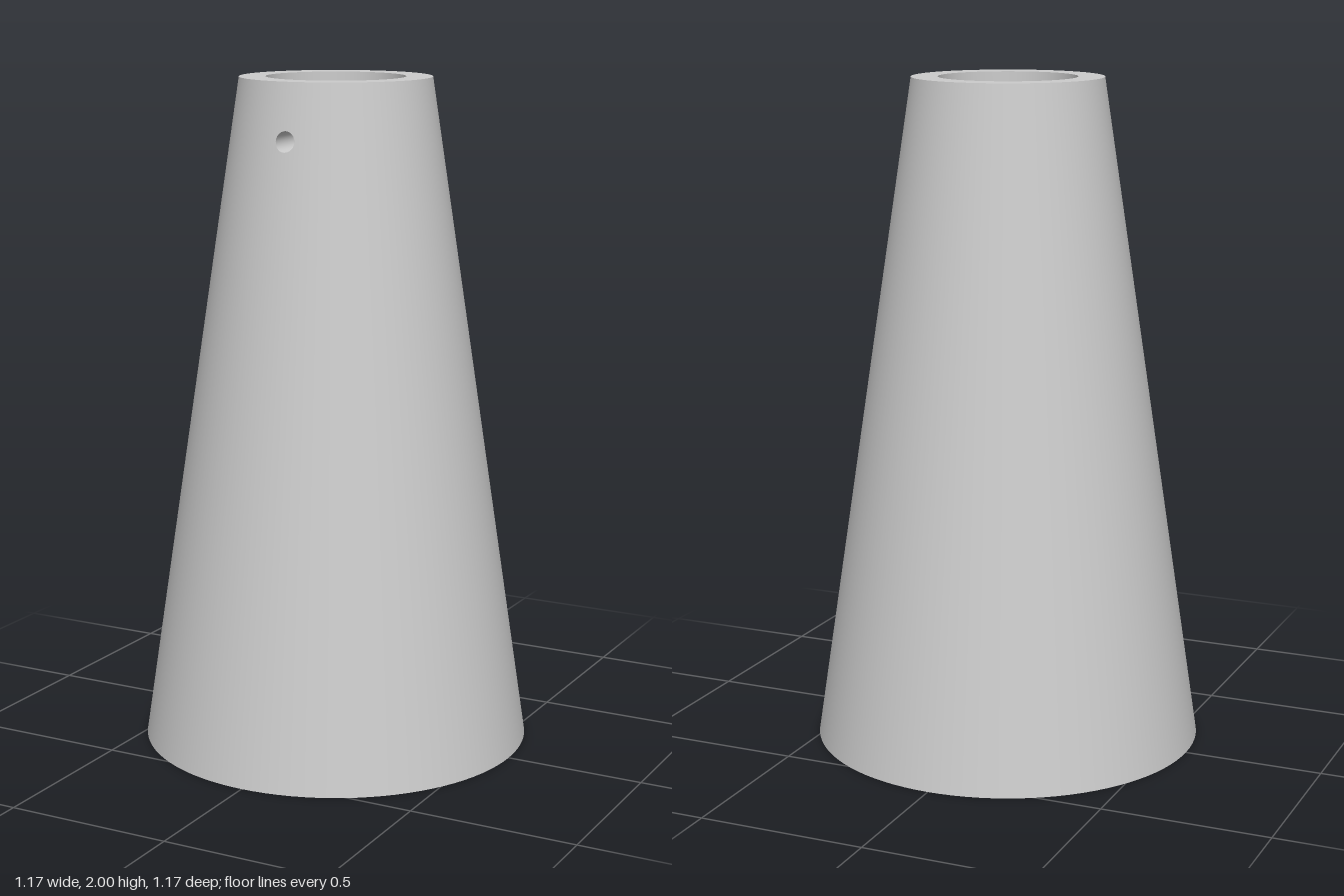
import * as THREE from 'three';

const SEG = 96, STEP = (Math.PI * 2) / SEG;
const HALF = 3, GAP = HALF * STEP; // half width of the wall patch around the pin hole
const HOLE_Y = 1.834, HOLE_R = 0.03, BAND_H = 0.075;
const BAND = [HOLE_Y - BAND_H, HOLE_Y + BAND_H];
const SHELF_TOP = 1.667, SHELF_BOTTOM = 1.2, BORE = 0.205, OPENING = 0.121;
const outerR = (y) => 0.583 - 0.15 * y;
const cavityR = (y) => 0.533 - 0.15 * y;
const boreR = () => BORE;

// One straight profile line spun round the axis, so that every rim stays sharp
function spin(points, cut = false) {
  return new THREE.LatheGeometry(
    points.map(([r, y]) => new THREE.Vector2(r, y)),
    cut ? SEG - 2 * HALF : SEG, cut ? GAP : 0, cut ? Math.PI * 2 - 2 * GAP : Math.PI * 2);
}

// Outline of the patch as (angle, height), anticlockwise from its lower left corner
const frame = [];
for (const [cos, sin] of [[1, 0], [0, 1], [-1, 0], [0, -1]]) {
  for (let i = -HALF; i < HALF; i++) {
    const k = i / HALF;
    frame.push([(cos * k + sin) * GAP, HOLE_Y + (sin * k - cos) * BAND_H]);
  }
}

// Matching points of the round hole where it meets a wall
function holeEdge(radius) {
  return frame.map((_, i) => {
    const a = (i / frame.length) * Math.PI * 2 - Math.PI * 0.75;
    const y = HOLE_Y + HOLE_R * Math.sin(a);
    return [Math.asin((HOLE_R * Math.cos(a)) / radius(y)), y];
  });
}

const onWall = (radius, [t, y]) => [radius(y) * Math.sin(t), y, radius(y) * Math.cos(t)];

// Surface through closed rings of equal length
function loft(rings, inward) {
  const n = rings[0].length, index = [];
  for (let k = 0; k < rings.length - 1; k++) {
    for (let i = 0; i < n; i++) {
      const a = k * n + i, b = k * n + ((i + 1) % n);
      index.push(a, b, a + n, b, b + n, a + n);
    }
  }
  if (inward) index.reverse();
  const geo = new THREE.BufferGeometry();
  geo.setAttribute('position', new THREE.Float32BufferAttribute(rings.flat(2), 3));
  geo.setIndex(index);
  geo.computeVertexNormals();
  return geo;
}

// Curved wall patch pierced by the hole, following the wall from frame to hole
function patch(radius, slope, inward) {
  const hole = holeEdge(radius), rings = [];
  for (let k = 0; k <= 4; k++) {
    rings.push(frame.map((p, i) => onWall(radius, p.map((v, c) => v + (hole[i][c] - v) * k / 4))));
  }
  const geo = loft(rings, inward);
  const pos = geo.attributes.position, n = new THREE.Vector3();
  for (let i = 0; i < pos.count; i++) {
    const t = Math.atan2(pos.getX(i), pos.getZ(i));
    n.set(Math.sin(t), slope, Math.cos(t)).normalize().multiplyScalar(inward ? -1 : 1);
    geo.attributes.normal.setXYZ(i, n.x, n.y, n.z);
  }
  return geo;
}

export function createModel() {
  const model = new THREE.Group();
  model.name = 'hollowCone';
  const grey = new THREE.MeshStandardMaterial({ color: 0xcccccc });
  grey.name = 'light grey';
  const add = (name, geometry) => {
    const mesh = new THREE.Mesh(geometry, grey);
    mesh.name = name;
    model.add(mesh);
  };
  const outer = (y) => [outerR(y), y];
  const cavity = (y) => [cavityR(y), y];
  const bore = (y) => [BORE, y];
  const opening = (y) => [OPENING, y];

  // Outer wall, with a gap for the pierced patch
  add('outerWallLower', spin([outer(0), outer(BAND[0])]));
  add('outerWallBand', spin([outer(BAND[0]), outer(BAND[1])], true));
  add('outerWallUpper', spin([outer(BAND[1]), outer(2)]));
  add('outerHolePatch', patch(outerR, 0.15, false));

  // Top rim, upper bore and the hole through its wall
  add('topRim', spin([outer(2), bore(2)]));
  add('boreUpper', spin([bore(2), bore(BAND[1])]));
  add('boreBand', spin([bore(BAND[1]), bore(BAND[0])], true));
  add('boreLower', spin([bore(BAND[0]), bore(SHELF_TOP)]));
  add('boreHolePatch', patch(boreR, 0, true));
  add('pinHole', loft([outerR, boreR].map((r) => holeEdge(r).map((p) => onWall(r, p))), false));

  // Solid neck with the narrow opening
  add('shelfTop', spin([bore(SHELF_TOP), opening(SHELF_TOP)]));
  add('shelfOpening', spin([opening(SHELF_TOP), opening(SHELF_BOTTOM)]));
  add('shelfUnderside', spin([opening(SHELF_BOTTOM), cavity(SHELF_BOTTOM)]));

  // Lower cavity and foot rim
  add('cavityWall', spin([cavity(SHELF_BOTTOM), cavity(0)]));
  add('footRim', spin([cavity(0), outer(0)]));
  return model;
}
